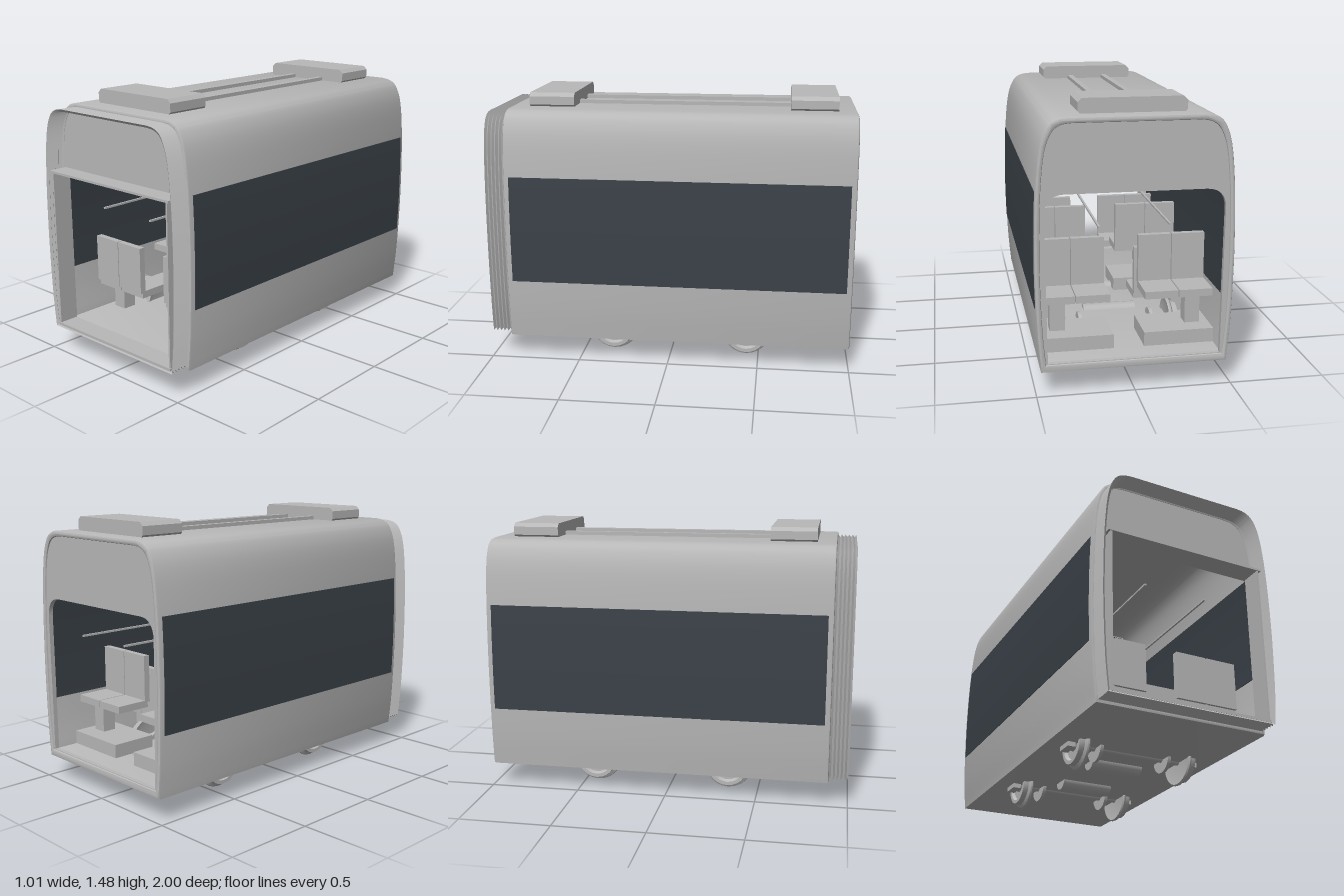
import * as THREE from 'three';
import { toCreasedNormals } from 'three/addons/utils/BufferGeometryUtils.js';

const mat = (name, color, side = THREE.FrontSide) => {
  const m = new THREE.MeshStandardMaterial({ color, side });
  m.name = name;
  return m;
};

// Half of the body section, from skirt to roof
const profile = new THREE.CatmullRomCurve3([
  [0.475, 0.125], [0.49, 0.3], [0.5, 0.6], [0.5, 0.78], [0.496, 0.95], [0.486, 1.12],
  [0.47, 1.25], [0.45, 1.32], [0.42, 1.37], [0.38, 1.393], [0.33, 1.4],
].map(([x, y]) => new THREE.Vector3(x, y, 0))).getPoints(40);

// Closed section scaled in width and refitted between two heights
const half = (sx, y0, y1) => profile.map(p =>
  new THREE.Vector2(p.x * sx, y0 + (p.y - 0.125) * (y1 - y0) / 1.275));
const mirror = pts => [...pts, ...pts.slice().reverse().map(p => new THREE.Vector2(-p.x, p.y))];
const section = (sx, y0, y1) => mirror(half(sx, y0, y1));

function widthAt(pts, y) {
  const i = Math.max(1, pts.findIndex(p => p.y >= y));
  const a = pts[i - 1], b = pts[i];
  return a.x + (b.x - a.x) * (y - a.y) / (b.y - a.y);
}

function extrude(shape, z0, z1, bevel = 0) {
  const g = new THREE.ExtrudeGeometry(shape, {
    depth: z1 - z0 - 2 * bevel, bevelEnabled: bevel > 0, bevelSize: bevel,
    bevelThickness: bevel, bevelOffset: -bevel, bevelSegments: 2, curveSegments: 8,
  });
  g.translate(0, 0, z0 + bevel);
  return toCreasedNormals(g, 0.6);
}

export function createModel() {
  const model = new THREE.Group();
  const grey = mat('bodyGrey', 0xb8b8b8);
  const greyOpen = mat('bellowsGrey', 0xb8b8b8, THREE.DoubleSide);
  const glass = mat('darkGlass', 0x3b4249);

  const add = (name, geo, m = grey, parent = model) => {
    const mesh = new THREE.Mesh(geo, m);
    mesh.name = name;
    parent.add(mesh);
    return mesh;
  };
  const box = (name, x0, x1, y0, y1, z0, z1, m, parent) => {
    const b = add(name, new THREE.BoxGeometry(x1 - x0, y1 - y0, z1 - z0), m, parent);
    b.position.set((x0 + x1) / 2, (y0 + y1) / 2, (z0 + z1) / 2);
    return b;
  };
  const rod = (name, r, length, x, y, z, sides = 20, parent = model) => {
    const g = new THREE.CylinderGeometry(r, r, length, sides);
    g.rotateZ(Math.PI / 2);
    add(name, g, grey, parent).position.set(x, y, z);
  };

  // Hollow body with floor
  const inner = half(0.945, 0.165, 1.37);
  const shell = new THREE.Shape(section(1, 0.125, 1.4));
  shell.holes.push(new THREE.Path(mirror(inner).reverse()));
  add('bodyShell', extrude(shell, -1, 0.895, 0.012));

  // Rear end wall with a rounded doorway
  const rear = new THREE.Shape(section(0.955, 0.15, 1.375));
  const door = new THREE.Path();
  door.moveTo(-0.44, 0.168);
  door.lineTo(-0.45, 0.93);
  door.quadraticCurveTo(-0.445, 1.03, -0.35, 1.03);
  door.lineTo(0.35, 1.03);
  door.quadraticCurveTo(0.445, 1.03, 0.45, 0.93);
  door.lineTo(0.44, 0.168);
  door.closePath();
  rear.holes.push(door);
  add('rearWall', extrude(rear, -0.99, -0.965));

  // Front header panel and gangway frame
  const top = half(0.955, 0.15, 1.375);
  const header = [new THREE.Vector2(widthAt(top, 1.03), 1.03), ...top.filter(p => p.y > 1.031)];
  add('frontHeader', extrude(new THREE.Shape(mirror(header)), 0.865, 0.89));
  box('gangwayLintel', -0.455, 0.455, 1.025, 1.037, 0.88, 0.995);
  box('gangwayFloor', -0.445, 0.445, 0.15, 0.165, 0.88, 0.995);
  for (const s of [-1, 1])
    box('gangwayPost', s * 0.437 - 0.005, s * 0.437 + 0.005, 0.15, 1.025, 0.88, 0.99);

  // Folded bellows, lofted between alternating rings
  const pos = [], idx = [], folds = 11;
  const n = profile.length * 2;
  for (let i = 0; i <= folds; i++) {
    const d = i % 2 ? 0 : 0.013;
    const z = 0.885 + 0.115 * i / folds;
    for (const p of section(0.975 - 2 * d, 0.142 + d, 1.383 - d)) pos.push(p.x, p.y, z);
  }
  for (let i = 0; i < folds; i++) for (let j = 0; j < n; j++) {
    const a = i * n + j, b = i * n + (j + 1) % n;
    idx.push(a, b, b + n, a, b + n, a + n);
  }
  let bellows = new THREE.BufferGeometry();
  bellows.setAttribute('position', new THREE.Float32BufferAttribute(pos, 3));
  bellows.setIndex(idx);
  bellows = toCreasedNormals(bellows, 0.5);
  add('bellows', bellows, greyOpen);

  // Window bands following the side curve, outside and inside
  const band = (name, pts, o0, o1) => {
    const ys = Array.from({ length: 13 }, (_, i) => 0.455 + 0.59 * i / 12);
    for (const s of [-1, 1]) {
      const line = o => ys.map(y => new THREE.Vector2(s * (widthAt(pts, y) + o), y));
      add(name, extrude(new THREE.Shape([...line(o1), ...line(o0).reverse()]), -0.97, 0.865), glass);
    }
  };
  band('outerWindow', half(1, 0.125, 1.4), -0.002, 0.003);
  band('innerWindow', inner, -0.004, 0.002);

  // Roof equipment and conduits
  for (const [z0, z1] of [[0.54, 0.79], [-0.9, -0.645]]) {
    const s = new THREE.Shape();
    s.moveTo(-0.27, 1.41);
    for (const [x, y] of [[-0.255, 1.395], [0.255, 1.395], [0.27, 1.41], [0.27, 1.455],
      [0.25, 1.475], [-0.25, 1.475], [-0.27, 1.455]]) s.lineTo(x, y);
    add('roofUnit', extrude(s, z0, z1));
  }
  for (const s of [-1, 1])
    box('roofConduit', s * 0.105 - 0.016, s * 0.105 + 0.016, 1.395, 1.42, -0.65, 0.55);

  // Seat rows: backrest z, facing direction, cushion height
  for (const [z, dir, y] of [[0.68, -1, 0.305], [0.05, 1, 0.405], [-0.5, 1, 0.305], [-0.6, -1, 0.405]]) {
    const row = new THREE.Group();
    row.name = 'seatRow';
    row.position.z = z;
    if (dir < 0) row.rotation.y = Math.PI;
    model.add(row);
    for (const s of [-1, 1]) {
      for (const c of [0.181, 0.364]) {
        const x0 = s * c - 0.089, x1 = s * c + 0.089;
        box('seatCushion', x0, x1, y, y + 0.04, 0, 0.2, grey, row);
        box('seatBack', x0, x1, y + 0.03, y + 0.295, -0.015, 0.02, grey, row);
      }
      box('seatPedestal', s * 0.36 - 0.04, s * 0.36 + 0.04, 0.16, y, 0.06, 0.14, grey, row);
      if (y > 0.4) box('seatPlinth', s * 0.265 - 0.185, s * 0.265 + 0.185, 0.16, 0.24, -0.02, 0.24, grey, row);
    }
  }

  // Grab rails and hanging display
  for (const s of [-1, 1])
    box('grabRail', s * 0.177 - 0.005, s * 0.177 + 0.005, 0.846, 0.856, -0.96, 0.86);
  box('displayCase', -0.13, 0.13, 0.905, 1, -0.02, 0.02);
  box('displayHanger', -0.006, 0.006, 1, 1.375, -0.006, 0.006);
  for (const s of [-1, 1])
    box('displayScreen', -0.118, 0.118, 0.913, 0.992, s * 0.021 - 0.002, s * 0.021 + 0.002, glass);

  // Wheelsets with brake discs and axle boxes
  for (const z of [0.33, -0.43]) {
    const set = new THREE.Group();
    set.name = 'wheelset';
    set.position.set(0, 0.135, z);
    model.add(set);
    rod('axle', 0.022, 0.66, 0, 0, 0, 14, set);
    for (const s of [-1, 1]) {
      const wheel = new THREE.LatheGeometry([[0, -0.02], [0.1, -0.02], [0.128, -0.026], [0.135, -0.018],
        [0.132, -0.01], [0.115, 0], [0.11, 0.028], [0.09, 0.028], [0.08, 0.012], [0.04, 0.012],
        [0.035, 0.03], [0, 0.03]].map(p => new THREE.Vector2(...p)), 24);
      wheel.rotateZ(-s * Math.PI / 2);
      add('wheel', toCreasedNormals(wheel, 0.5), grey, set).position.x = s * 0.315;
      rod('brakeDisc', 0.08, 0.018, s * 0.2, 0, 0, 20, set);
      box('axleBox', s * 0.362 - 0.022, s * 0.362 + 0.022, -0.035, 0.06, -0.05, 0.05, grey, set);
    }
  }

  // Underfloor traction motors
  for (const z of [0.14, -0.24]) rod('motor', 0.055, 0.3, 0, 0.133, z, 12);

  return model;
}
